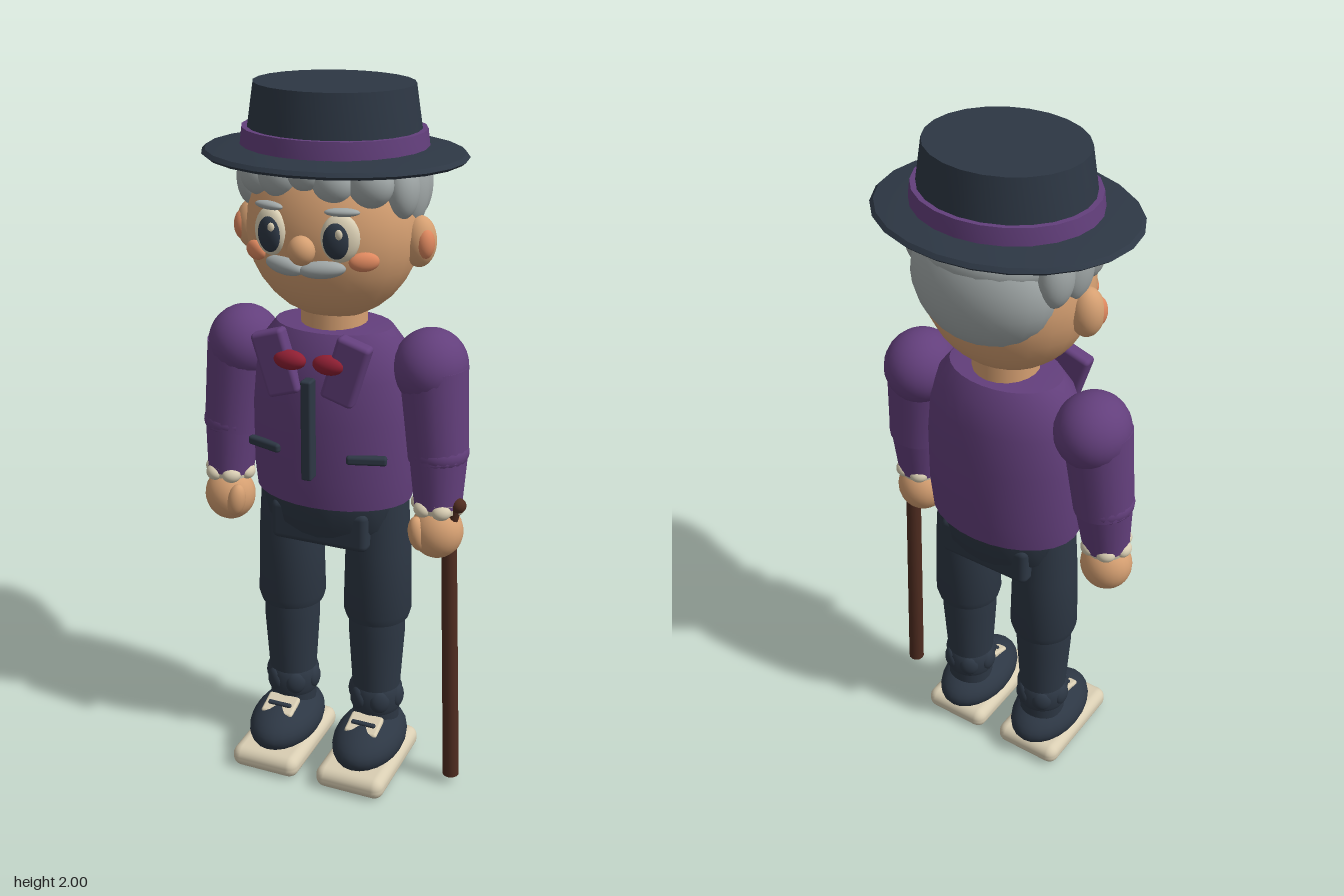
import * as THREE from 'three';
import { toCreasedNormals } from 'three/addons/utils/BufferGeometryUtils.js';
import { RoundedBoxGeometry } from 'three/addons/geometries/RoundedBoxGeometry.js';

const paint = (name, color) => {
  const m = new THREE.MeshStandardMaterial({ color });
  m.name = name;
  return m;
};

export function createModel() {
  const navy = paint('navy', 0x2d3744);
  const purple = paint('purple', 0x633f7c);
  const skin = paint('skin', 0xd6a072);
  const grey = paint('grey hair', 0xa1a8a8);
  const cream = paint('cream', 0xd9ceb3);
  const red = paint('red', 0x8f1f33);
  const brown = paint('brown wood', 0x4f2c20);
  const blush = paint('blush', 0xde885f);

  const model = new THREE.Group();
  model.name = 'gentleman';
  const body = new THREE.Group();
  body.name = 'figure';
  body.position.x = -0.01;
  model.add(body);

  function add(name, geo, mat, pos = [0, 0, 0], rot = [0, 0, 0]) {
    const mesh = new THREE.Mesh(geo, mat);
    mesh.name = name;
    mesh.position.set(...pos);
    mesh.rotation.set(...rot);
    body.add(mesh);
    return mesh;
  }
  function ball(name, mat, pos, radii, rot) {
    const mesh = add(name, new THREE.SphereGeometry(1, 24, 16), mat, pos, rot);
    mesh.scale.set(...radii);
    return mesh;
  }
  // oval turned form; zScale flattens it front to back
  function turned(name, mat, points, zScale = 1, pos, sides = 24) {
    const g = new THREE.LatheGeometry(points.map(p => new THREE.Vector2(...p)), sides);
    g.scale(1, 1, zScale);
    return add(name, toCreasedNormals(g, 0.6), mat, pos);
  }
  // tapered round bar between two points
  function limb(name, mat, a, b, ra, rb, sides = 20) {
    const p = new THREE.Vector3(...a), q = new THREE.Vector3(...b);
    const dir = q.clone().sub(p);
    const mesh = add(name, new THREE.CylinderGeometry(rb, ra, dir.length(), sides), mat);
    mesh.position.copy(p).add(q).multiplyScalar(0.5);
    mesh.quaternion.setFromUnitVectors(new THREE.Vector3(0, 1, 0), dir.normalize());
    return mesh;
  }
  const box = (name, mat, size, r, pos, rot) =>
    add(name, new RoundedBoxGeometry(...size, 3, r), mat, pos, rot);

  // hat
  turned('hatBrim', navy, [[0, 1.815], [0.25, 1.812], [0.345, 1.812], [0.355, 1.82],
    [0.345, 1.83], [0.25, 1.845], [0, 1.845]], 0.84);
  turned('hatCrown', navy, [[0, 1.83], [0.238, 1.83], [0.212, 2], [0, 2]], 0.89);
  turned('hatBand', purple, [[0.2, 1.84], [0.25, 1.84], [0.244, 1.888], [0.2, 1.888]], 0.89);

  // head
  ball('head', skin, [0, 1.63, 0.005], [0.236, 0.245, 0.205]);
  limb('neck', skin, [0, 1.32, 0], [0, 1.44, 0], 0.092, 0.09);
  ball('nose', skin, [0, 1.613, 0.213], [0.036, 0.038, 0.033]);

  // hair
  ball('hairTop', grey, [0, 1.755, -0.025], [0.222, 0.1, 0.2]);
  ball('hairBack', grey, [0, 1.675, -0.095], [0.205, 0.18, 0.14]);
  [[-0.155, 1.775, 0.115, 0.055], [-0.085, 1.785, 0.145, 0.06], [-0.01, 1.8, 0.16, 0.05],
    [0.06, 1.775, 0.15, 0.055], [0.15, 1.775, 0.125, 0.06]].forEach(([x, y, z, r]) =>
    ball('hairCurl', grey, [x, y, z], [r, r, r * 0.85]));

  for (const s of [-1, 1]) {
    const side = s > 0 ? 'left' : 'right';

    // side hair locks
    ball(side + 'HairLock', grey, [s * 0.208, 1.75, 0.05], [0.042, 0.075, 0.055]);
    ball(side + 'HairLock', grey, [s * 0.21, 1.745, -0.015], [0.043, 0.1, 0.06]);
    ball(side + 'HairLock', grey, [s * 0.195, 1.74, -0.08], [0.045, 0.09, 0.06]);

    // ears, eyes, cheeks and moustache
    ball(side + 'Ear', skin, [s * 0.238, 1.61, 0], [0.045, 0.068, 0.045]);
    ball(side + 'InnerEar', blush, [s * 0.258, 1.61, 0.016], [0.026, 0.042, 0.028]);
    ball(side + 'EyeWhite', cream, [s * 0.095, 1.648, 0.187], [0.05, 0.062, 0.027], [0, s * 0.3, 0]);
    ball(side + 'Pupil', navy, [s * 0.092, 1.645, 0.203], [0.035, 0.047, 0.02], [0, s * 0.3, 0]);
    ball(side + 'EyeGlint', cream, [s * 0.092 + 0.012, 1.665, 0.219], [0.01, 0.013, 0.006]);
    ball(side + 'Brow', grey, [s * 0.1, 1.714, 0.187], [0.045, 0.011, 0.016], [0, s * 0.3, 0]);
    ball(side + 'Cheek', blush, [s * 0.15, 1.587, 0.163], [0.04, 0.025, 0.018], [0, s * 0.6, 0]);
    ball(side + 'Moustache', grey, [s * 0.052, 1.566, 0.2], [0.06, 0.023, 0.024], [0, s * 0.25, s * 0.08]);

    // collar, bow tie and pocket
    box(side + 'Collar', purple, [0.095, 0.18, 0.045], 0.012, [s * 0.1, 1.285, 0.155], [0, 0, -s * 0.3]);
    ball(side + 'Bow', red, [s * 0.056, 1.302, 0.17], [0.046, 0.027, 0.025]);
    box(side + 'Pocket', navy, [0.11, 0.025, 0.025], 0.008, [s * 0.15, 1.033, 0.135], [0, s * 0.3, 0]);

    // arm
    ball(side + 'Shoulder', purple, [s * 0.275, 1.27, -0.008], [0.102, 0.105, 0.11]);
    limb(side + 'UpperArm', purple, [s * 0.31, 1.02, 0.01], [s * 0.285, 1.27, 0], 0.083, 0.094);
    ball(side + 'Elbow', purple, [s * 0.31, 1.04, 0.01], [0.084, 0.06, 0.084]);
    limb(side + 'Forearm', purple, [s * 0.317, 0.885, 0.022], [s * 0.31, 1.03, 0.01], 0.066, 0.08);
    limb(side + 'Cuff', cream, [s * 0.317, 0.872, 0.024], [s * 0.317, 0.9, 0.022], 0.062, 0.066);
    for (let i = 0; i < 6; i++) {
      const a = i * Math.PI / 3 + 0.5;
      ball(side + 'CuffRuffle', cream, [s * 0.317 + Math.sin(a) * 0.056, 0.886, 0.024 + Math.cos(a) * 0.056],
        [0.027, 0.022, 0.021], [0, a, 0]);
    }
    ball(side + 'Hand', skin, [s * 0.318, 0.808, 0.028], [0.074, 0.078, 0.07]);
    ball(side + 'Thumb', skin, [s * 0.278, 0.81, 0.072], [0.027, 0.05, 0.028], [0, 0, s * 0.2]);

    // leg
    const x = s * 0.135;
    turned(side + 'Thigh', navy, [[0, 0.495], [0.092, 0.495], [0.099, 0.52], [0.094, 0.72],
      [0.085, 0.87], [0, 0.87]], 1, [x, 0, 0]);
    turned(side + 'Shin', navy, [[0, 0.08], [0.068, 0.1], [0.07, 0.25], [0.082, 0.44],
      [0.082, 0.52], [0, 0.52]], 1, [x, 0, 0.003]);
    turned(side + 'AnkleCuff', navy, [[0, 0.185], [0.071, 0.185], [0.077, 0.2], [0.077, 0.25],
      [0.07, 0.265], [0, 0.265]], 1, [x, 0, 0.003]);
    for (let i = 0; i < 6; i++) {
      const a = i * Math.PI / 3 + 0.52;
      ball(side + 'AnkleFold', navy, [x + Math.sin(a) * 0.067, 0.228, 0.003 + Math.cos(a) * 0.067],
        [0.03, 0.036, 0.018], [0, a, 0]);
    }

    // shoe
    box(side + 'Sole', cream, [0.21, 0.066, 0.335], 0.03, [x, 0.038, 0.068]);
    ball(side + 'ShoeUpper', navy, [x, 0.1, 0.05], [0.102, 0.075, 0.162]);
    box(side + 'ShoeTongue', cream, [0.1, 0.02, 0.075], 0.008, [x, 0.163, 0.098], [0.33, 0, 0]);
    box(side + 'ShoeLace', navy, [0.075, 0.012, 0.014], 0.005, [x, 0.172, 0.105], [0.33, 0, 0]);
  }

  // jacket, zip and hips
  turned('jacket', purple, [[0, 0.875], [0.228, 0.875], [0.236, 0.95], [0.236, 1.12], [0.225, 1.24],
    [0.2, 1.32], [0.165, 1.365], [0, 1.378]], 0.7, undefined, 28);
  box('zip', navy, [0.03, 0.285, 0.04], 0.006, [0, 1.115, 0.18]);
  turned('hips', navy, [[0, 0.74], [0.155, 0.74], [0.205, 0.8], [0.215, 0.88], [0, 0.88]], 0.7);
  box('seat', navy, [0.29, 0.12, 0.25], 0.02, [0, 0.8, 0]);

  // cane
  limb('caneShaft', brown, [0.39, 0.03, 0.045], [0.352, 0.83, 0.027], 0.024, 0.022, 12);
  limb('caneHandle', brown, [0.352, 0.81, 0.03], [0.375, 0.9, 0.04], 0.018, 0.016, 12);
  ball('caneKnob', brown, [0.382, 0.9, 0.04], [0.021, 0.021, 0.021]);

  return model;
}
